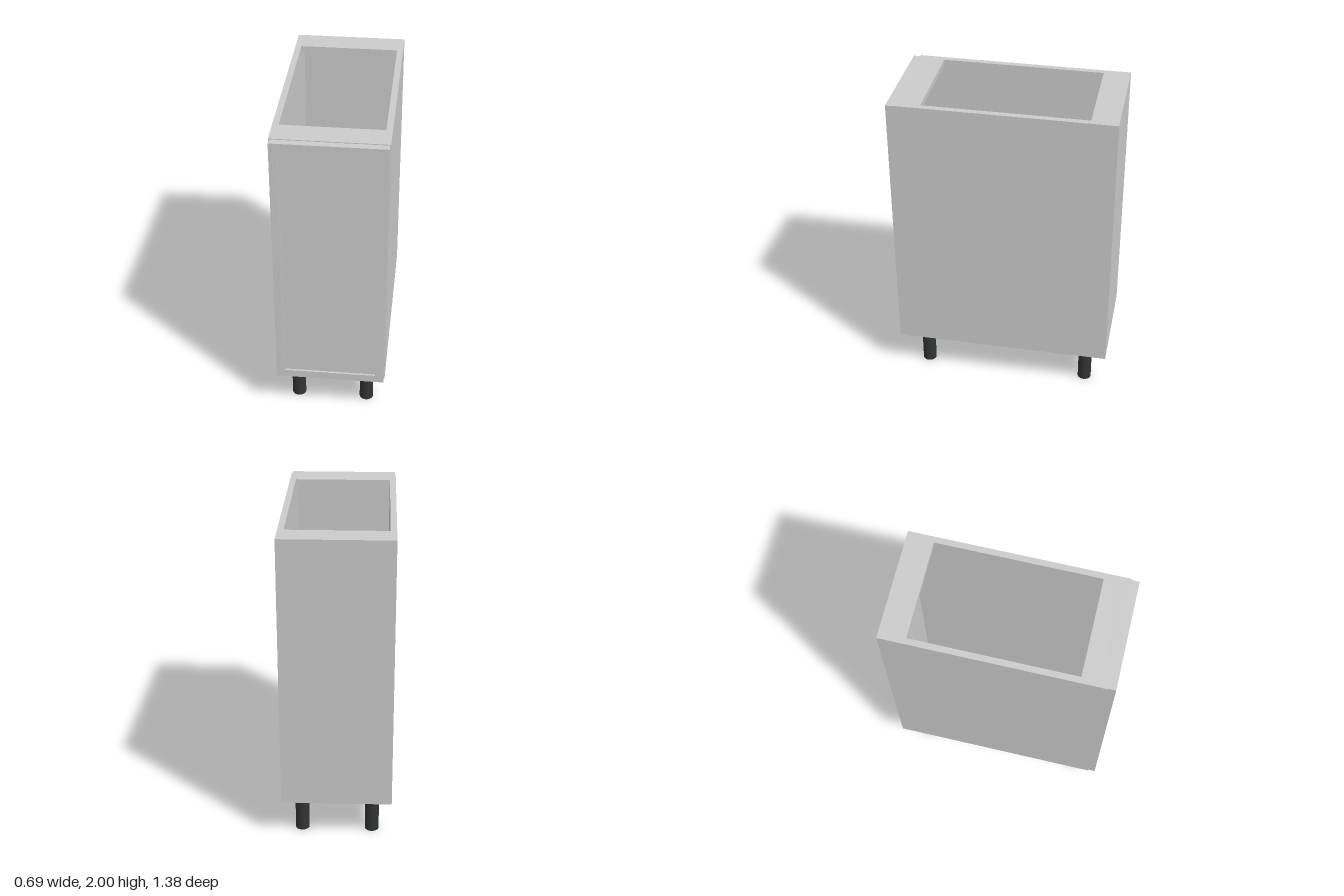
import * as THREE from 'three';

export function createModel() {
  const group = new THREE.Group();
  group.name = 'baseCabinet';
  const grey = new THREE.MeshStandardMaterial({ color: 0xcccccc });
  const dark = new THREE.MeshStandardMaterial({ color: 0x333435 });

  const add = (name, geometry, material = grey) => {
    const mesh = new THREE.Mesh(geometry, material);
    mesh.name = name;
    group.add(mesh);
    return mesh;
  };
  // Box given by its minimum and maximum on each axis
  const box = (name, x0, x1, y0, y1, z0, z1) =>
    add(name, new THREE.BoxGeometry(x1 - x0, y1 - y0, z1 - z0))
      .position.set((x0 + x1) / 2, (y0 + y1) / 2, (z0 + z1) / 2);

  const W = 0.345, T = 0.038, inner = W - T;
  const bottom = 0.265, top = 2, back = -0.69, front = 0.645;

  // Carcass: open box with two rails across the top
  box('leftSide', inner, W, bottom, top, back, front);
  box('rightSide', -W, -inner, bottom, top, back, front);
  box('bottomPanel', -inner, inner, bottom, bottom + T, back, front);
  box('backPanel', -inner, inner, bottom + T, top - T, back, back + 0.015);
  box('backRail', -inner, inner, top - T, top, back, -0.525);
  box('frontRail', -inner, inner, top - T, top, 0.485, front);

  // Door: frame around a slightly recessed panel
  const rect = (Type, x, y0, y1) => new Type([
    new THREE.Vector2(-x, y0), new THREE.Vector2(x, y0),
    new THREE.Vector2(x, y1), new THREE.Vector2(-x, y1),
  ]);
  const frame = rect(THREE.Shape, 0.34, 0.27, 1.995);
  frame.holes.push(rect(THREE.Path, 0.288, 0.322, 1.943));
  add('doorFrame', new THREE.ExtrudeGeometry(frame, { depth: 0.045, bevelEnabled: false }))
    .position.z = front;
  box('doorPanel', -0.288, 0.288, 0.322, 1.943, front, 0.677);

  // Legs
  const legGeometry = new THREE.CylinderGeometry(0.044, 0.044, bottom, 32);
  for (const [end, z] of [['front', 0.525], ['back', -0.545]])
    for (const [side, x] of [['Left', 0.222], ['Right', -0.222]])
      add(`${end}${side}Leg`, legGeometry, dark).position.set(x, bottom / 2, z);

  return group;
}
